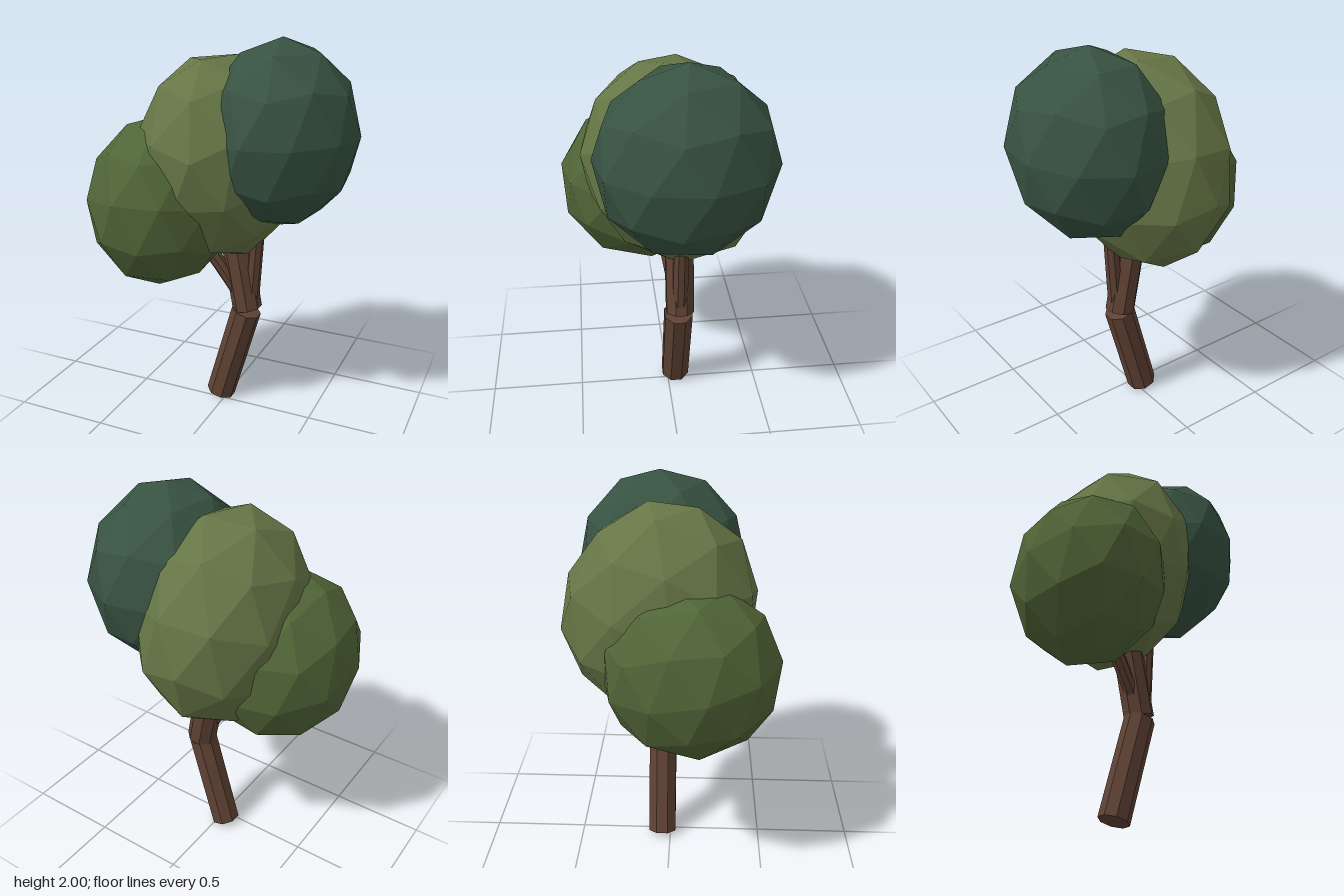
import * as THREE from 'three';

const Y_AXIS = new THREE.Vector3(0, 1, 0);

const paint = (color) => new THREE.MeshStandardMaterial({ color, flatShading: true });

// Faceted leaf ball: a subdivided icosahedron with its poles on y, stretched and tilted
function leafBall(name, color, centre, radii, tilt) {
  const geometry = new THREE.IcosahedronGeometry(1, 1);
  geometry.rotateX(-Math.atan2((1 + Math.sqrt(5)) / 2, 1));
  geometry.rotateY(0.18);
  const mesh = new THREE.Mesh(geometry, paint(color));
  mesh.name = name;
  mesh.position.set(...centre);
  mesh.scale.set(...radii);
  mesh.rotation.set(...tilt);
  return mesh;
}

// Straight eight-sided log running between two points
function log(name, from, to, bottomRadius, topRadius, material) {
  const a = new THREE.Vector3(...from);
  const b = new THREE.Vector3(...to);
  const geometry = new THREE.CylinderGeometry(topRadius, bottomRadius, a.distanceTo(b), 8);
  geometry.rotateY(Math.PI / 8);
  const mesh = new THREE.Mesh(geometry, material);
  mesh.name = name;
  mesh.position.copy(a).add(b).multiplyScalar(0.5);
  mesh.quaternion.setFromUnitVectors(Y_AXIS, b.sub(a).normalize());
  return mesh;
}

export function createModel() {
  const tree = new THREE.Group();
  tree.name = 'tree';

  // Leaning trunk, bent where the upper part begins, with two side branches
  const bark = paint(0x5f4234);
  tree.add(
    log('lowerTrunk', [-0.037, 0.024, -0.045], [0.113, 0.553, -0.045], 0.08, 0.08, bark),
    log('upperTrunk', [0.115, 0.567, -0.053], [0.03, 1.02, -0.053], 0.079, 0.079, bark),
    log('leftBranch', [0.09, 0.63, -0.04], [-0.11, 0.95, 0.02], 0.038, 0.038, bark),
    log('rightBranch', [0.135, 0.6, -0.05], [0.165, 1.0, -0.05], 0.044, 0.04, bark)
  );

  // Three overlapping masses of leaves
  tree.add(
    leafBall('middleFoliage', 0x667646, [-0.04, 1.38, -0.055], [0.41, 0.552, 0.485], [0.35, 0, 0.03]),
    leafBall('highFoliage', 0x385342, [0.288, 1.535, -0.055], [0.38, 0.465, 0.438], [-0.02, 0, 0.02]),
    leafBall('lowFoliage', 0x506537, [-0.29, 1.168, 0.11], [0.378, 0.443, 0.44], [-0.2, 0, 0.02])
  );

  return tree;
}
